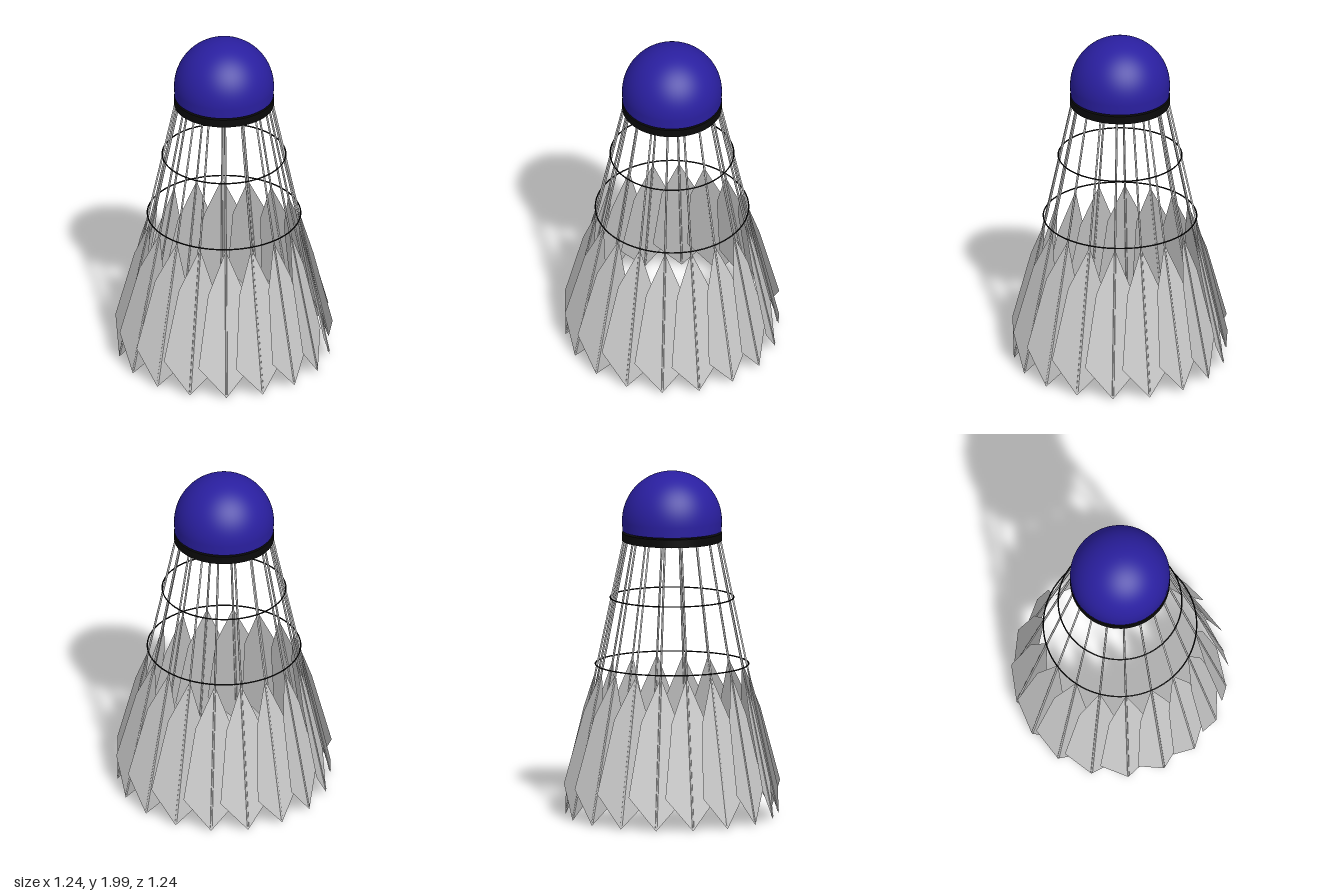
import * as THREE from 'three';

const COUNT = 18;
// radius of the skirt cone at height y
const skirtRadius = (y) => 0.277 + 0.21 * (1.6 - y);

const grey = new THREE.MeshStandardMaterial({ color: 0xcccccc });
const vane = new THREE.MeshStandardMaterial({ color: 0xcccccc, side: THREE.DoubleSide, flatShading: true });
const black = new THREE.MeshStandardMaterial({ color: 0x0a0a0a });
const blue = new THREE.MeshStandardMaterial({ color: 0x2a1fa0 });

function part(name, geometry, material) {
  const mesh = new THREE.Mesh(geometry, material);
  mesh.name = name;
  return mesh;
}

// kite-shaped blade lying on the skirt slope, twisted so neighbours overlap
function bladeGeometry() {
  const outline = [[0, 0.01], [0.16, 0.2], [0.103, 0.62], [0, 0.87], [-0.103, 0.62], [-0.16, 0.2]];
  const geometry = new THREE.ShapeGeometry(new THREE.Shape(outline.map(([x, y]) => new THREE.Vector2(x, y))));
  const pos = geometry.attributes.position;
  for (let i = 0; i < pos.count; i++) {
    pos.setZ(i, skirtRadius(pos.getY(i)) - 0.19 * pos.getX(i));
  }
  geometry.computeVertexNormals();
  return geometry;
}

// thin shaft from the base down to the blade's tip
function shaftGeometry() {
  const top = new THREE.Vector3(0, 1.63, skirtRadius(1.63));
  const bottom = new THREE.Vector3(0, 0.03, skirtRadius(0.03));
  return new THREE.TubeGeometry(new THREE.LineCurve3(bottom, top), 1, 0.006, 6);
}

export function createModel() {
  const model = new THREE.Group();
  model.name = 'shuttlecock';

  // rounded cork head with a flat underside
  const dome = [new THREE.Vector2(0, 1.657), new THREE.Vector2(0.284, 1.657), new THREE.Vector2(0.284, 1.657)];
  for (let i = 0; i <= 24; i++) {
    const a = (i / 24) * Math.PI / 2;
    dome.push(new THREE.Vector2(0.286 * Math.cos(a), 1.714 + 0.286 * Math.sin(a)));
  }
  model.add(part('corkHead', new THREE.LatheGeometry(dome, 64), blue));

  // base band and the narrow neck joining it to the head
  const band = part('baseBand', new THREE.CylinderGeometry(0.286, 0.286, 0.047, 64), black);
  band.position.y = 1.6235;
  const neck = part('baseNeck', new THREE.CylinderGeometry(0.25, 0.25, 0.03, 48), black);
  neck.position.y = 1.652;
  model.add(band, neck);

  // binding threads
  for (const [name, y, r] of [['upperThread', 1.27, 0.354], ['lowerThread', 0.885, 0.439]]) {
    const ring = part(name, new THREE.TorusGeometry(r, 0.004, 6, 72), black);
    ring.rotation.x = Math.PI / 2;
    ring.position.y = y;
    model.add(ring);
  }

  // feathers around the skirt
  const blade = bladeGeometry();
  const shaft = shaftGeometry();
  for (let i = 0; i < COUNT; i++) {
    const feather = new THREE.Group();
    feather.name = 'feather' + (i + 1);
    feather.add(part('blade', blade, vane), part('shaft', shaft, grey));
    feather.rotation.y = (i / COUNT) * Math.PI * 2;
    model.add(feather);
  }
  return model;
}
